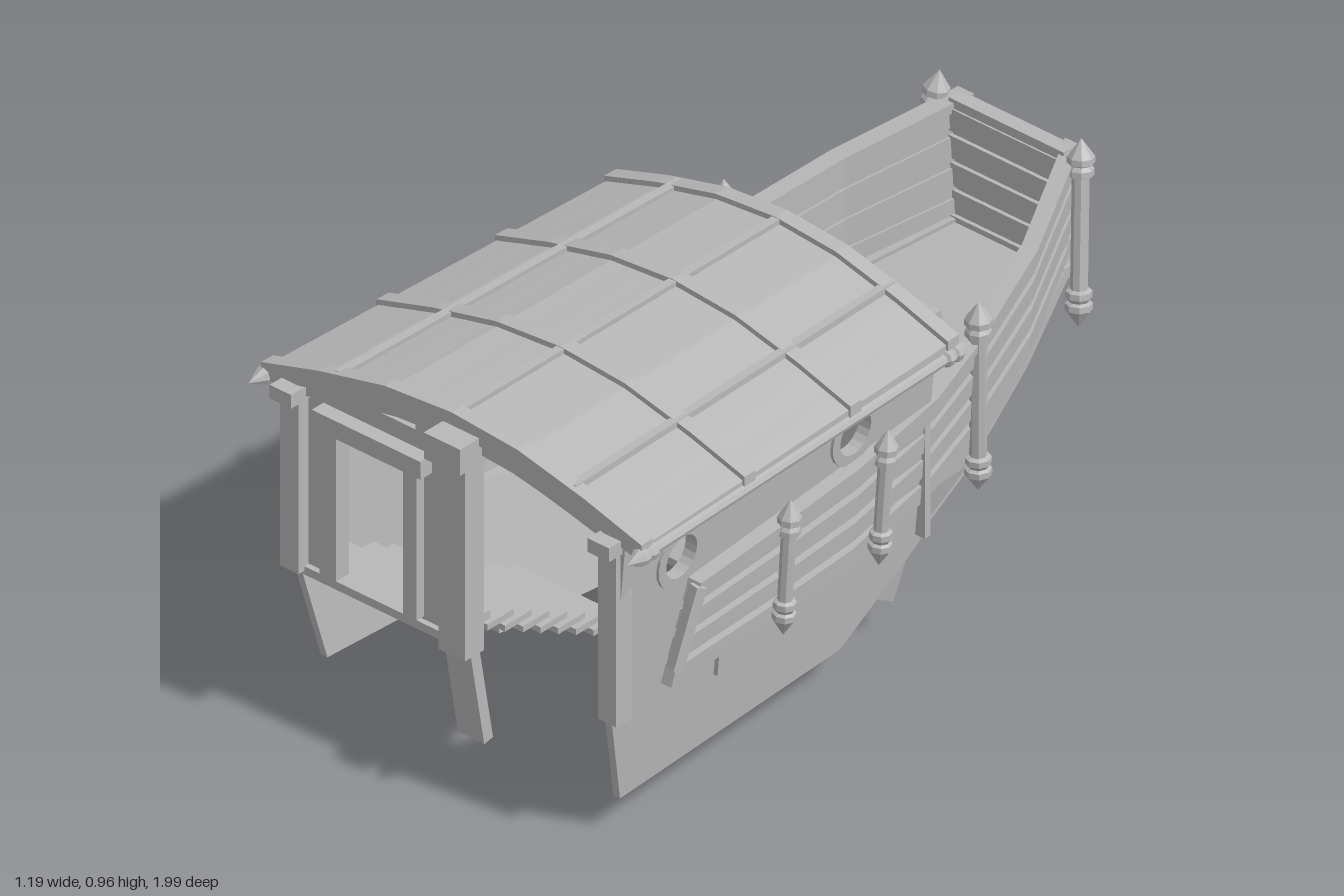
import * as THREE from 'three';

const wood = new THREE.MeshStandardMaterial({ color: 0xb8b8b8, flatShading: true });
wood.name = 'grey wood';

// Rows: z, half width, top height, bottom height
const HULL = [[-0.99, 0.165, 0.855, 0.555], [-0.7, 0.295, 0.765, 0.48], [-0.42, 0.375, 0.69, 0.415],
  [-0.22, 0.425, 0.655, 0.39], [0.1, 0.475, 0.64, 0.37], [0.4, 0.495, 0.63, 0.37], [0.72, 0.508, 0.62, 0.37]];
// Rows: z, half width, height
const DECK = [[-0.98, 0.17, 0.55], [-0.7, 0.285, 0.47], [-0.42, 0.36, 0.365], [-0.2, 0.385, 0.275], [0.07, 0.4, 0.125]];
// Raked stern bottom from deck to keel; rows: z, half width, height
const STERN = [[-0.2, 0.385, 0.265], [-0.125, 0.35, 0.17], [-0.1, 0.3, 0.07], [-0.02, 0.29, 0.02]];
const ARCH = [[0, 0.97], [0.35, 0.955], [0.7, 0.91], [1, 0.86]];
const ARCH_U = [-1, -0.85, -0.7, -0.52, -0.35, -0.17, 0, 0.17, 0.35, 0.52, 0.7, 0.85, 1];

// Linear lookup in a table sorted by its first column
function look(table, v, col) {
  let i = 0;
  while (i < table.length - 2 && v > table[i + 1][0]) i++;
  const a = table[i], b = table[i + 1];
  return a[col] + (b[col] - a[col]) * (v - a[0]) / (b[0] - a[0]);
}
const roofY = u => look(ARCH, Math.abs(u), 1);
const roofHalf = z => 0.515 + 0.057 * (z + 0.2) / 1.13;
const wallX = (z, y) => 0.435 + 0.065 * (z + 0.2) / 1.1 + (y - 0.6) * 0.09;

function add(group, name, geometry) {
  const mesh = new THREE.Mesh(geometry, wood);
  mesh.name = name;
  group.add(mesh);
  return mesh;
}

function box(group, name, x0, x1, y0, y1, z0, z1) {
  const m = add(group, name, new THREE.BoxGeometry(x1 - x0, y1 - y0, z1 - z0));
  m.position.set((x0 + x1) / 2, (y0 + y1) / 2, (z0 + z1) / 2);
}

// Square timber between two points
function beam(group, name, a, b, w, h) {
  const p = new THREE.Vector3(...a), q = new THREE.Vector3(...b);
  const m = add(group, name, new THREE.BoxGeometry(w, h, p.distanceTo(q)));
  m.position.copy(p).lerp(q, 0.5);
  m.lookAt(q);
}

// Skin four-point sections into a closed solid
function loft(rings) {
  const pos = [];
  const quad = (a, b, c, d) => pos.push(...a, ...b, ...c, ...a, ...c, ...d);
  for (let i = 0; i < rings.length - 1; i++) {
    const r = rings[i], s = rings[i + 1];
    for (let k = 0; k < 4; k++) quad(r[k], r[(k + 1) % 4], s[(k + 1) % 4], s[k]);
  }
  quad(...[...rings[0]].reverse());
  quad(...rings[rings.length - 1]);
  const g = new THREE.BufferGeometry();
  g.setAttribute('position', new THREE.Float32BufferAttribute(pos, 3));
  g.computeVertexNormals();
  return g;
}

// Plank following the hull side; t runs from bottom edge to top edge
function strake(t0, t1, inner, outer) {
  return loft(HULL.map(([z, w, top, bot], i) => {
    const at = (t, o) => [w + o - 0.02 * (1 - t), bot + (top - bot) * t,
      i === HULL.length - 1 ? z + 0.03 - 0.07 * t : z];
    return [at(t0, inner), at(t0, outer), at(t1, outer), at(t1, inner)];
  }));
}

// Curved piece across the roof, down to an offset or a fixed floor
function arch(z0, z1, up, down, span = 1, floor = null) {
  return loft(ARCH_U.map(v => {
    const u = v * span, y = roofY(u);
    const low = floor === null ? y + down : floor;
    return [[u * roofHalf(z0), y + up, z0], [u * roofHalf(z1), y + up, z1],
      [u * roofHalf(z1), low, z1], [u * roofHalf(z0), low, z0]];
  }));
}

// Upright plate drawn in (z, y) and leaned by a rule for x
function sidePlate(points, holes, depth, xAt) {
  const shape = new THREE.Shape(points.map(p => new THREE.Vector2(...p)));
  for (const [z, y, r] of holes) shape.holes.push(new THREE.Path().absarc(z, y, r, 0, Math.PI * 2, true));
  const g = new THREE.ExtrudeGeometry(shape, { depth, bevelEnabled: false, curveSegments: 10 });
  const p = g.attributes.position;
  for (let i = 0; i < p.count; i++) {
    const z = p.getX(i), y = p.getY(i);
    p.setXYZ(i, xAt(z, y) - p.getZ(i), y, z);
  }
  g.computeVertexNormals();
  return g;
}

// Single skin facing the stern
function sternSkin() {
  const g = new THREE.PlaneGeometry(2, 1, 1, STERN.length - 1);
  const p = g.attributes.position;
  for (let i = 0; i < p.count; i++) {
    const [z, w, y] = STERN[Math.floor(i / 2)];
    p.setXYZ(i, -p.getX(i) * w, y, z);
  }
  g.computeVertexNormals();
  return g;
}

// Turned post with bands and pointed ends
function spindle(group, name, a, b, r) {
  const p = new THREE.Vector3(...a), q = new THREE.Vector3(...b), h = p.distanceTo(q);
  const end = [[0, 0], [0.9, 0.03], [1.35, 0.045], [1.35, 0.06], [1, 0.065], [1.3, 0.075], [1.3, 0.09], [0.85, 0.095]];
  const profile = [...end, ...end.map(([s, y]) => [s, h - y]).reverse()]
    .map(([s, y]) => new THREE.Vector2(s * r, y));
  const m = add(group, name, new THREE.LatheGeometry(profile, 8));
  m.position.copy(p);
  m.quaternion.setFromUnitVectors(new THREE.Vector3(0, 1, 0), q.sub(p).normalize());
}

function buildSide() {
  const side = new THREE.Group();
  const ports = [[0.72, 0.71], [0.09, 0.725]];
  add(side, 'cabinWall', sidePlate(
    [[0.93, 0.855], [-0.2, 0.855], [-0.2, 0.27], [0.07, 0.11], [0.87, 0.11], [0.93, 0.37]],
    ports.map(([z, y]) => [z, y, 0.058]), 0.02, wallX));
  for (const [z, y] of ports) {
    const c = new THREE.Shape().absarc(z, y, 0.083, 0, Math.PI * 2);
    add(side, 'portholeRing', sidePlate(c.getPoints(10).map(p => [p.x, p.y]), [[z, y, 0.056]], 0.035,
      (zz, yy) => wallX(zz, yy) + 0.008));
  }
  // Hull planks over a recessed backing
  add(side, 'hullBacking', strake(0, 1, -0.012, -0.006));
  for (const [t0, t1] of [[0, 0.19], [0.27, 0.455], [0.535, 0.725], [0.805, 1]]) {
    add(side, 'hullPlank', strake(t0, t1, -0.018, 0.014));
  }
  add(side, 'hullRail', strake(0.95, 1.03, -0.027, 0.02));
  beam(side, 'hullEndBoard', [0.508, 0.42, 0.745], [0.522, 0.62, 0.68], 0.03, 0.03);
  add(side, 'lowerStrake', sidePlate([[0.55, 0.37], [0, 0.37], [0, 0.29], [0.55, 0.29]], [], 0.025,
    (z, y) => wallX(z, y) + 0.012));
  // Bilge boards between the hull band and the deck edge
  add(side, 'bilgeBoard', loft(DECK.slice(0, 4).map(([z, w, y]) => {
    const x = look(HULL, z, 1) - 0.02, top = look(HULL, z, 3) + 0.01;
    return [[w - 0.02, y, z], [w, y - 0.01, z], [x + 0.01, top, z], [x - 0.01, top, z]];
  })));
  add(side, 'deckEdge', loft(DECK.slice(0, 4).map(([z, w, y]) =>
    [[w - 0.05, y - 0.02, z], [w, y - 0.02, z], [w, y + 0.02, z], [w - 0.05, y + 0.02, z]])));
  beam(side, 'sternFoot', [0.36, 0.28, -0.185], [0.335, 0.115, -0.15], 0.03, 0.05);
  // Thin keel board, leaning out and narrowing toward the stern
  add(side, 'keelBoard', sidePlate(
    [[0.43, 0.36], [-0.1, 0.36], [-0.12, 0.18], [-0.1, 0.07], [-0.02, 0.02], [0.43, 0.02]], [], 0.03,
    (z, y) => 0.335 + (y - 0.02) * 0.31 + (z - 0.43) * 0.12));
  // Turned hull posts
  spindle(side, 'hullPost', [0.51, 0.34, 0.38], [0.52, 0.70, 0.365], 0.021);
  spindle(side, 'hullPost', [0.487, 0.35, 0.03], [0.497, 0.71, 0.01], 0.021);
  spindle(side, 'hullPost', [0.385, 0.295, -0.42], [0.387, 0.80, -0.42], 0.024);
  spindle(side, 'hullPost', [0.26, 0.45, -0.9], [0.215, 0.91, -0.96], 0.024);
  // Eave pole, corner posts and rear posts
  spindle(side, 'eavePole', [roofHalf(0.98), 0.838, 0.98], [roofHalf(-0.25), 0.825, -0.25], 0.017);
  box(side, 'cornerPost', 0.455, 0.51, 0.36, 0.85, 0.89, 0.945);
  box(side, 'cornerPostCap', 0.45, 0.515, 0.82, 0.857, 0.87, 0.975);
  beam(side, 'rearPost', [0.375, 0.27, -0.215], [0.365, 0.85, -0.225], 0.05, 0.045);
  box(side, 'rearPostCap', 0.325, 0.405, 0.80, 0.855, -0.275, -0.19);
  // Roof batten
  const u = 0.62, y = roofY(u) + 0.004;
  beam(side, 'roofBatten', [u * roofHalf(-0.2), y, -0.2], [u * roofHalf(0.92), y, 0.92], 0.022, 0.02);
  return side;
}

export function createModel() {
  const model = new THREE.Group();
  const left = buildSide();
  left.name = 'leftSide';
  const right = left.clone();
  right.name = 'rightSide';
  right.scale.x = -1;
  model.add(left, right);

  // Roof
  add(model, 'roofShell', arch(-0.19, 0.93, 0, -0.026));
  for (const z of [-0.185, 0.165, 0.545, 0.915]) add(model, 'roofRib', arch(z - 0.02, z + 0.02, 0.014, -0.035, 1.01));
  beam(model, 'ridgeBatten', [0, 0.972, -0.19], [0, 0.972, 0.92], 0.022, 0.02);
  add(model, 'frontGable', arch(0.89, 0.925, -0.02, -0.065, 0.88));
  add(model, 'rearWall', arch(-0.2, -0.18, -0.02, 0, 0.85, 0.3));

  // Stern deck and the raked bottom beneath it
  add(model, 'deck', loft(DECK.map(([z, w, y]) =>
    [[-w, y - 0.01, z], [w, y - 0.01, z], [w, y + 0.01, z], [-w, y + 0.01, z]])));
  add(model, 'sternBottom', sternSkin());
  box(model, 'deckBeam', -0.38, 0.38, 0.29, 0.375, -0.2, -0.17);

  // Transom
  for (let i = 0; i < 4; i++) {
    const y = 0.56 + i * 0.072;
    box(model, 'transomPlank', -0.175, 0.175, y, y + 0.06, -0.97, -0.94);
  }
  box(model, 'transomBacking', -0.17, 0.17, 0.55, 0.84, -0.956, -0.95);
  box(model, 'transomRail', -0.175, 0.175, 0.83, 0.86, -0.985, -0.945);
  box(model, 'transomSill', -0.19, 0.19, 0.53, 0.56, -0.985, -0.93);

  // Front: centre post, doorway and wall beside it
  box(model, 'centrePost', -0.02, 0.06, 0.35, 0.89, 0.89, 0.955);
  beam(model, 'centrePostFoot', [0.02, 0.38, 0.925], [0.02, 0.1, 0.875], 0.08, 0.03);
  box(model, 'centrePostCap', -0.025, 0.085, 0.88, 0.95, 0.87, 1);
  box(model, 'frontPanel', -0.46, -0.37, 0.37, 0.85, 0.89, 0.91);
  box(model, 'frontPanel', -0.13, -0.02, 0.37, 0.91, 0.89, 0.91);
  box(model, 'frontPanel', -0.37, -0.13, 0.79, 0.87, 0.89, 0.91);
  box(model, 'doorPost', -0.4, -0.35, 0.38, 0.78, 0.89, 0.935);
  box(model, 'doorPost', -0.147, -0.105, 0.38, 0.78, 0.89, 0.935);
  box(model, 'doorLintel', -0.41, -0.08, 0.775, 0.823, 0.89, 0.95);
  box(model, 'landing', -0.46, -0.02, 0.35, 0.372, 0.78, 0.925);

  // Stairs descending from the landing
  for (let i = 0; i < 7; i++) {
    const y = 0.32 - i * 0.031, z = 0.77 - i * 0.06;
    box(model, 'stairTread', -0.45, -0.02, y, y + 0.016, z - 0.07, z + 0.02);
  }
  return model;
}
